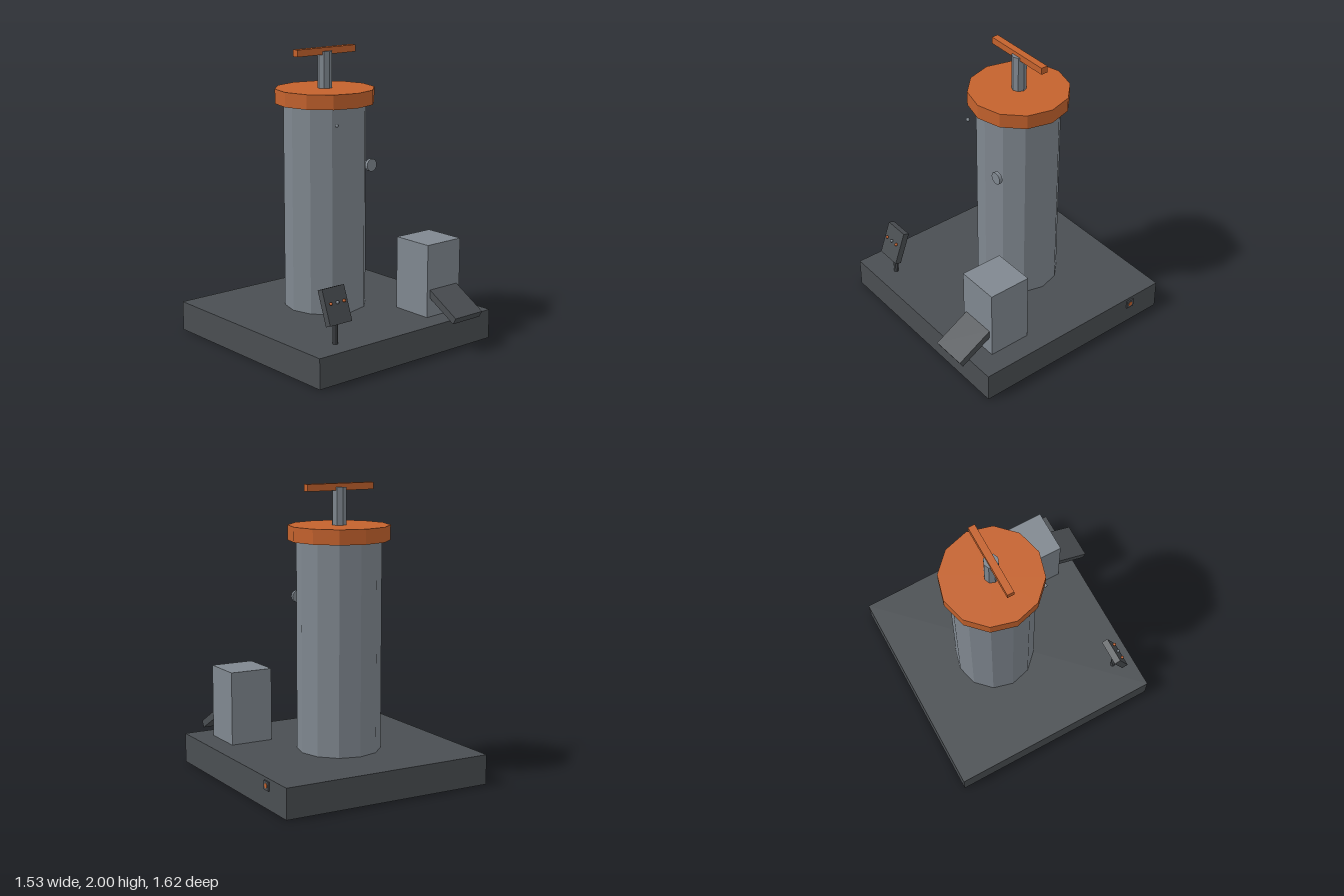
import * as THREE from 'three';

const orange = new THREE.MeshStandardMaterial({ color: 0xc4622d });
orange.name = 'orange';
const steel = new THREE.MeshStandardMaterial({ color: 0x808890 });
steel.name = 'steel grey';
const dark = new THREE.MeshStandardMaterial({ color: 0x4a4e52 });
dark.name = 'dark grey';

// Facet a geometry so every face has its own normal
function faceted(geometry) {
  const flat = geometry.toNonIndexed();
  flat.computeVertexNormals();
  return flat;
}

function add(parent, name, geometry, material, x, y, z) {
  const mesh = new THREE.Mesh(geometry, material);
  mesh.name = name;
  mesh.position.set(x, y, z);
  parent.add(mesh);
  return mesh;
}

const box = (w, h, d) => new THREE.BoxGeometry(w, h, d);
const prism = (r, h, sides) => faceted(new THREE.CylinderGeometry(r, r, h, sides));
const bead = (r) => new THREE.SphereGeometry(r, 10, 8);

export function createModel() {
  const model = new THREE.Group();
  model.name = 'pressMachine';
  const cx = -0.007;

  // Base slab
  add(model, 'base', box(1.517, 0.205, 1.517), dark, cx, 0.1025, -0.05);

  // Column with cap, rod and handle
  const tower = new THREE.Group();
  tower.name = 'tower';
  tower.position.set(cx, 0, -0.15);
  model.add(tower);
  add(tower, 'column', prism(0.285, 1.425, 12), steel, 0, 0.9125, 0);
  add(tower, 'cap', prism(0.342, 0.1, 12), orange, 0, 1.675, 0);
  add(tower, 'rod', prism(0.05, 0.25, 8), steel, 0, 1.85, 0);
  add(tower, 'handle', box(0.505, 0.047, 0.048), orange, 0, 1.9765, 0);

  // Gauge and small stud in front of the column
  const gauge = add(model, 'gauge', prism(0.043, 0.023, 16), steel, 0.144, 1.218, 0.153);
  gauge.rotation.x = Math.PI / 2;
  add(model, 'stud', bead(0.013), steel, -0.16, 1.522, 0.157);

  // Control panel on a post, leaning back
  add(model, 'panelPost', prism(0.017, 0.22, 8), dark, -0.515, 0.305, 0.56);
  const panel = new THREE.Group();
  panel.name = 'controlPanel';
  panel.position.set(-0.515, 0.46, 0.558);
  panel.rotation.x = -0.35;
  model.add(panel);
  add(panel, 'panelBoard', box(0.182, 0.239, 0.046), dark, 0, 0, 0);
  [orange, steel, orange].forEach((material, i) => {
    add(panel, 'button' + (i + 1), bead(0.011), material, (i - 1) * 0.055, 0.018, 0.034);
  });

  // Hopper box with a sloping chute
  add(model, 'hopper', box(0.304, 0.508, 0.304), steel, 0.449, 0.457, 0.408);
  const chute = add(model, 'chute', box(0.252, 0.05, 0.3), dark, 0.449, 0.306, 0.665);
  chute.rotation.x = 0.52;

  // Switch on the side of the base
  add(model, 'switchPlate', box(0.03, 0.06, 0.06), dark, 0.746, 0.155, -0.553);
  const knob = add(model, 'switchButton', prism(0.017, 0.01, 8), orange, 0.759, 0.155, -0.553);
  knob.rotation.z = -Math.PI / 2;

  return model;
}
